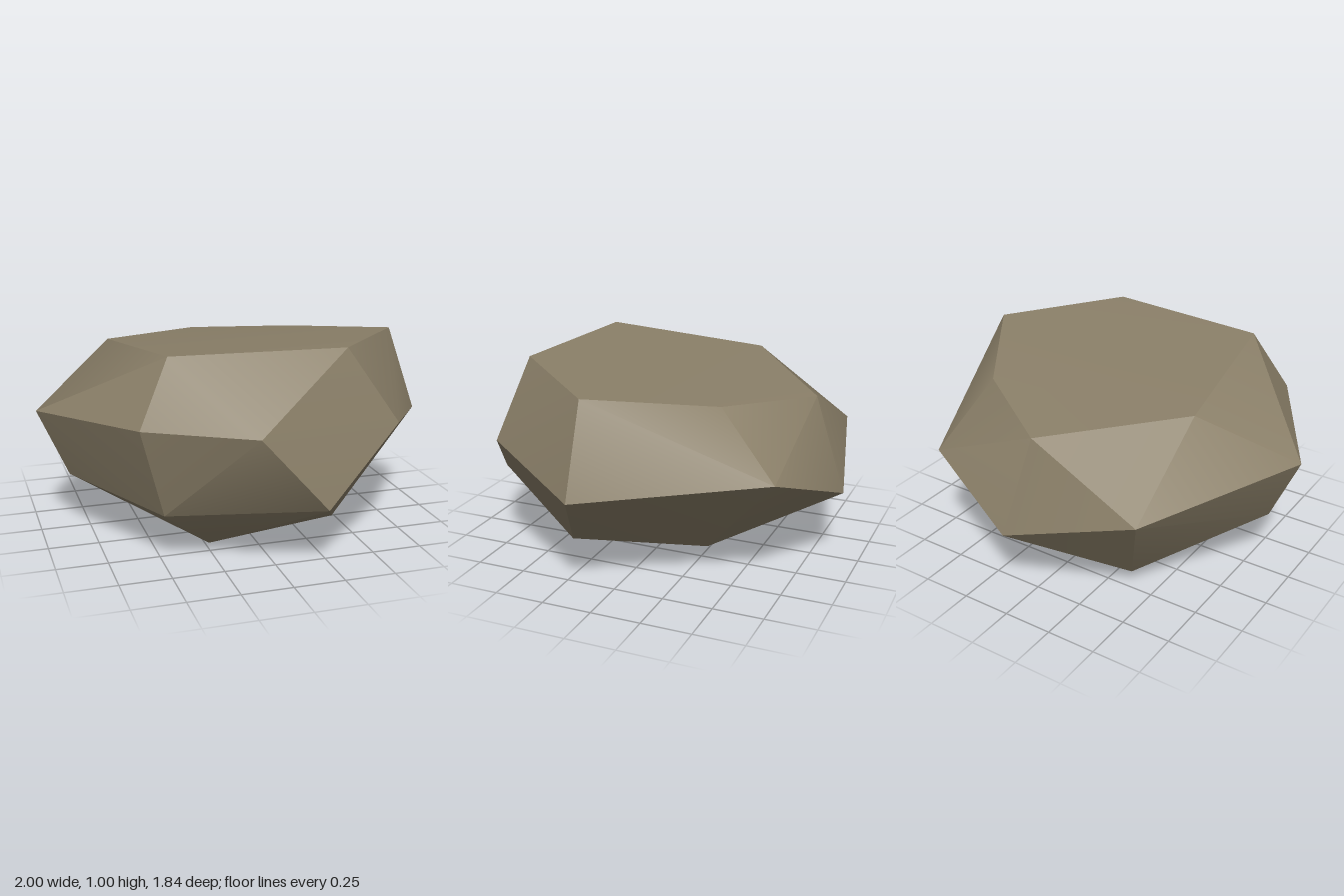
import * as THREE from 'three';
import { ConvexGeometry } from 'three/addons/geometries/ConvexGeometry.js';
import { toCreasedNormals } from 'three/addons/utils/BufferGeometryUtils.js';

// Corner points of the boulder, ring by ring from the top down
const crown = [
  [-0.46, 0.995, 0.555], [0.39, 0.995, 0.62], [0.84, 0.96, 0.11],
  [0.48, 0.885, -0.43], [0, 0.84, -0.75], [-0.58, 0.91, -0.27],
];
const shoulder = [
  [-1, 0.64, 0.03], [-0.62, 0.69, 0.67], [-0.13, 0.68, 0.915],
  [0.64, 0.625, 0.68], [1, 0.515, 0.11], [0.6, 0.585, -0.735], [-0.58, 0.565, -0.77],
];
const waist = [
  [-0.85, 0.3, 0.04], [-0.5, 0.25, 0.61], [0.2, 0.31, 0.91], [0.06, 0.38, -0.92],
];
const foot = [[0.43, 0.06, 0.39], [-0.23, 0, 0.41], [-0.37, 0.07, -0.47], [0.24, 0.055, -0.28]];

export function createModel() {
  const group = new THREE.Group();
  group.name = 'rock';

  const stone = new THREE.MeshStandardMaterial({ color: 0x8a7f68 });
  stone.name = 'stone';

  // Faceted hull: gentle bends are smooth, sharper ridges stay crisp
  const points = [...crown, ...shoulder, ...waist, ...foot].map((p) => new THREE.Vector3(...p));
  const geometry = toCreasedNormals(new ConvexGeometry(points), THREE.MathUtils.degToRad(30));

  const boulder = new THREE.Mesh(geometry, stone);
  boulder.name = 'boulder';
  group.add(boulder);
  return group;
}
